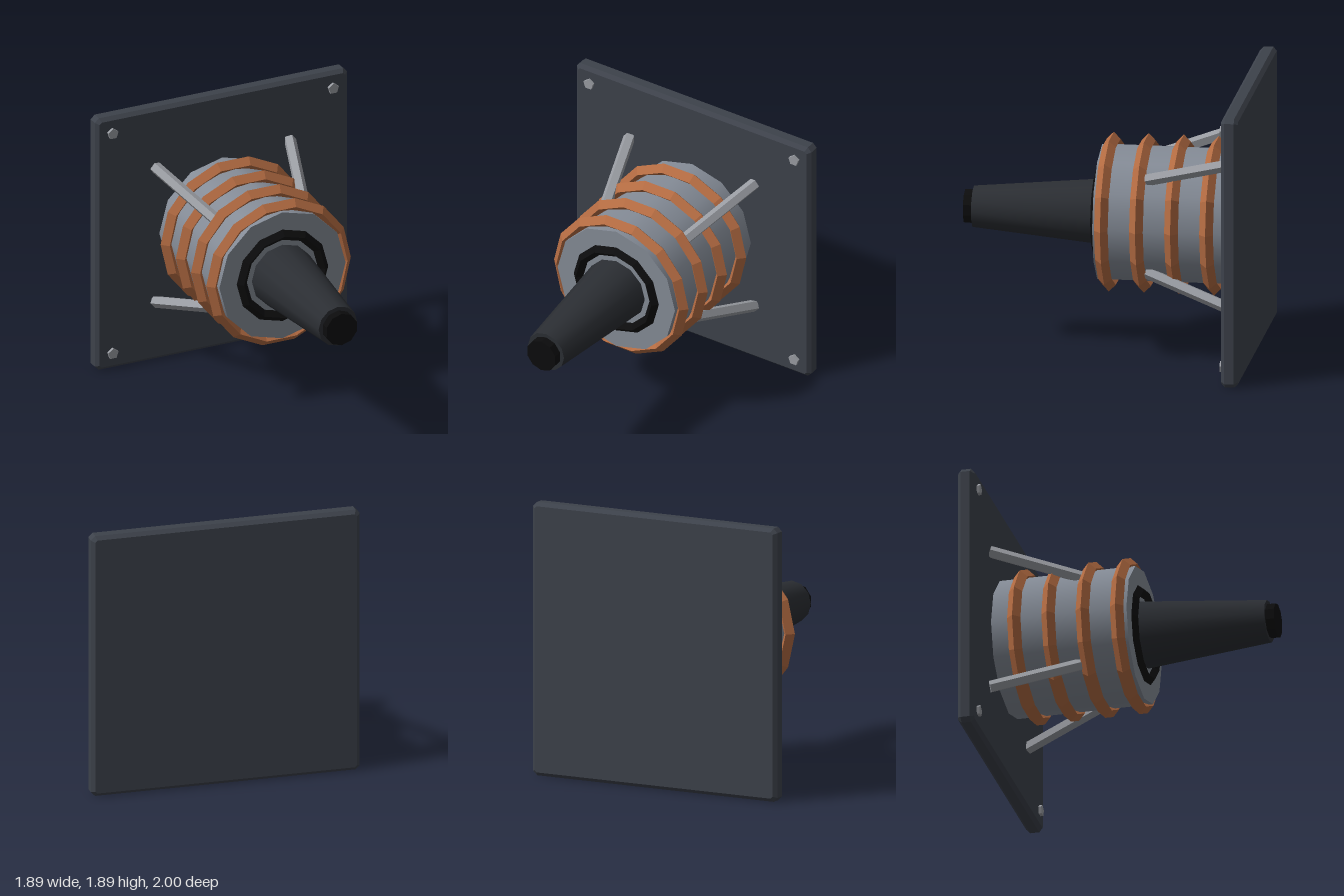
import * as THREE from 'three';

const CY = 0.945; // height of the main axis

const paint = (color, flatShading = false) => {
  const m = new THREE.MeshStandardMaterial({ color });
  m.flatShading = flatShading;
  return m;
};

export function createModel() {
  const model = new THREE.Group();
  const slate = paint(0x3d424b, true);
  const steel = paint(0x858c97);
  const brace = paint(0x9a9da3, true);
  const copper = paint(0xb36b42, true);
  const dark = paint(0x2b2e33);
  const black = paint(0x0c0c0d, true);

  const add = (name, geometry, material, x = 0, y = CY, z = 0) => {
    const mesh = new THREE.Mesh(geometry, material);
    mesh.name = name;
    mesh.position.set(x, y, z);
    model.add(mesh);
    return mesh;
  };

  // Cylinder lying along z between two depths
  const barrel = (name, rFront, rBack, z0, z1, sides, material) =>
    add(name, new THREE.CylinderGeometry(rFront, rBack, z1 - z0, sides).rotateX(Math.PI / 2),
      material, 0, CY, (z0 + z1) / 2);

  // Chamfered square wall plate
  const h = 0.92, c = 0.015, bevel = 0.025;
  const outline = new THREE.Shape([
    [h - c, -h], [h, c - h], [h, h - c], [h - c, h],
    [c - h, h], [-h, h - c], [-h, c - h], [c - h, -h],
  ].map(([x, y]) => new THREE.Vector2(x, y)));
  add('wallPlate', new THREE.ExtrudeGeometry(outline, {
    depth: 0.065, bevelEnabled: true, bevelSegments: 1, bevelSize: bevel, bevelThickness: bevel,
  }), slate, 0, CY, -0.975);

  // Drum with copper coil rings
  barrel('drum', 0.473, 0.473, -0.9, 0.063, 12, steel);
  for (let i = 0; i < 4; i++) {
    add('coilRing', new THREE.TorusGeometry(0.495, 0.047, 4, 14), copper, 0, CY, -0.24 * i);
  }

  // Collar, tapered nozzle and its tip
  add('collar', new THREE.TorusGeometry(0.305, 0.038, 4, 12), black, 0, CY, 0.063);
  barrel('nozzle', 0.145, 0.231, 0.05, 0.94, 12, dark);
  barrel('nozzleTip', 0.118, 0.118, 0.9, 1.0, 10, black);

  // Diagonal braces and corner bolts
  const up = new THREE.Vector3(0, 1, 0);
  for (const sx of [-1, 1]) {
    for (const sy of [-1, 1]) {
      const outer = new THREE.Vector3(sx * 0.505, CY + sy * 0.505, -0.885);
      const inner = new THREE.Vector3(sx * 0.325, CY + sy * 0.325, -0.29);
      const along = inner.clone().sub(outer);
      const strut = add('brace', new THREE.CylinderGeometry(0.043, 0.043, along.length(), 5), brace);
      strut.position.copy(outer).add(inner).multiplyScalar(0.5);
      strut.quaternion.setFromUnitVectors(up, along.normalize());

      add('bolt', new THREE.CylinderGeometry(0.04, 0.04, 0.05, 5).rotateX(-Math.PI / 2),
        brace, sx * 0.826, CY + sy * 0.826, -0.89);
    }
  }
  return model;
}
